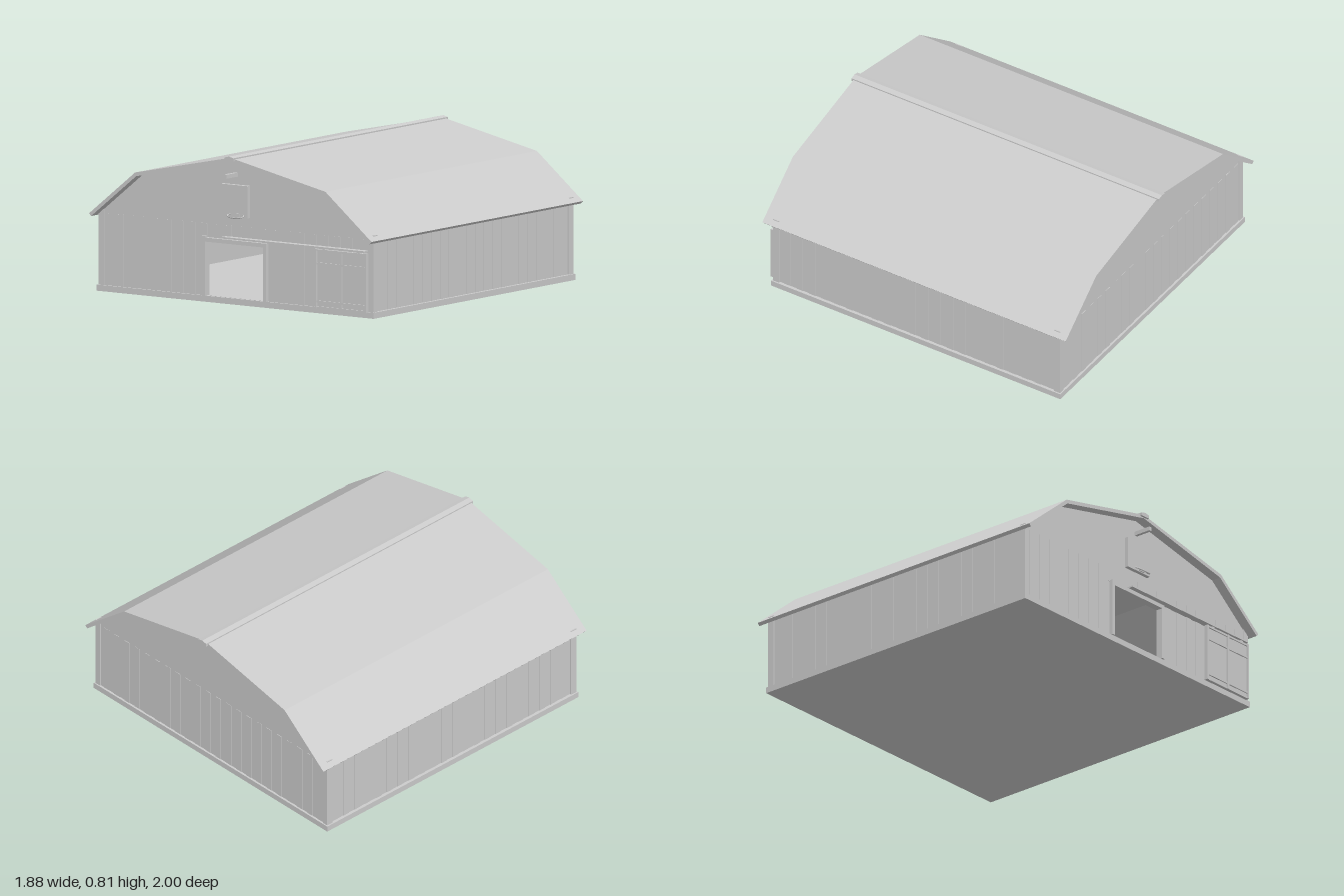
import * as THREE from 'three';

export function createModel() {
  const barn = new THREE.Group();
  barn.name = 'barn';
  const grey = new THREE.MeshStandardMaterial({ color: 0xcccccc });
  grey.name = 'plain grey';

  function add(name, geometry, parent = barn) {
    const mesh = new THREE.Mesh(geometry, grey);
    mesh.name = name;
    parent.add(mesh);
    return mesh;
  }
  // Box given by its limits on each axis
  function box(name, x0, x1, y0, y1, z0, z1, parent) {
    const g = new THREE.BoxGeometry(x1 - x0, y1 - y0, z1 - z0);
    g.translate((x0 + x1) / 2, (y0 + y1) / 2, (z0 + z1) / 2);
    return add(name, g, parent);
  }
  function group(name) {
    const g = new THREE.Group();
    g.name = name;
    barn.add(g);
    return g;
  }
  const outline = (points) => new THREE.Shape(points.map(([x, y]) => new THREE.Vector2(x, y)));
  function extrude(shape, z0, z1) {
    const g = new THREE.ExtrudeGeometry(shape, { depth: z1 - z0, bevelEnabled: false });
    g.translate(0, 0, z0);
    return g;
  }

  // Foundation slab, also the floor
  box('foundation', -0.92, 0.92, 0, 0.033, -0.94, 0.905);

  // Gambrel roof shell and ridge cap
  const outer = [[-0.938, 0.424], [-0.632, 0.671], [0, 0.803], [0.632, 0.671], [0.938, 0.424]];
  const inner = [[0.924, 0.41], [0.625, 0.651], [0, 0.783], [-0.625, 0.651], [-0.924, 0.41]];
  add('roof', extrude(outline([...outer, ...inner].reverse()), -0.985, 0.95));
  add('ridgeCap', extrude(outline([
    [-0.03, 0.787], [0.03, 0.787], [0.03, 0.804], [0, 0.811], [-0.03, 0.804],
  ]), -1, 0.962));

  // Gable walls, the front one with the doorway
  const gable = [[-0.902, 0.033], [0.902, 0.033], [0.902, 0.43], [0.625, 0.653],
    [0, 0.785], [-0.625, 0.653], [-0.902, 0.43]];
  const front = outline(gable);
  front.holes.push(new THREE.Path([[-0.195, 0.034], [-0.195, 0.33], [0.195, 0.33], [0.195, 0.034]]
    .map(([x, y]) => new THREE.Vector2(x, y))));
  add('frontWall', extrude(front, 0.875, 0.893));
  add('backWall', extrude(outline(gable), -0.927, -0.909));

  // Side walls
  for (const s of [-1, 1]) {
    const x = s * 0.893;
    box(s > 0 ? 'leftWall' : 'rightWall', x - 0.009, x + 0.009, 0.033, 0.432, -0.92, 0.885);
  }

  // Uneven boards: every second one stands slightly proud
  const boards = group('wallBoards');
  const step = 0.04;
  for (let i = 0; i < 44; i += 2) {
    const a = -0.87 + i * step;
    const b = a + step;
    const proud = 0.0015 + 0.0015 * ((i * 7) % 3) / 2;
    const overDoor = b > -0.215 && a < 0.215;
    box('frontBoard', a, b, overDoor ? 0.35 : 0.033, 0.425, 0.89, 0.893 + proud, boards);
    box('backBoard', a, b, 0.033, 0.425, -0.927 - proud, -0.924, boards);
    const z = a - 0.016;
    box('leftBoard', 0.899, 0.902 + proud, 0.033, 0.425, z, z + step, boards);
    box('rightBoard', -0.902 - proud, -0.899, 0.033, 0.425, z, z + step, boards);
  }

  // Corner posts, whose tops poke through the roof
  for (const s of [-1, 1]) {
    for (const [z0, z1] of [[0.86, 0.898], [-0.933, -0.895]]) {
      box('cornerPost', Math.min(s * 0.877, s * 0.912), Math.max(s * 0.877, s * 0.912), 0.033, 0.45, z0, z1);
    }
  }

  // Doorway trim
  const trim = group('doorFrame');
  box('rightJamb', -0.214, -0.194, 0.033, 0.358, 0.872, 0.914, trim);
  box('leftJamb', 0.192, 0.212, 0.033, 0.35, 0.872, 0.914, trim);
  box('header', -0.194, 0.212, 0.328, 0.35, 0.872, 0.914, trim);

  // Sliding door pushed to the left side, under its track
  const door = group('slidingDoor');
  box('track', -0.07, 0.876, 0.358, 0.366, 0.89, 0.932, door);
  box('doorPanel', 0.55, 0.883, 0.033, 0.348, 0.91, 0.92, door);
  for (const x of [0.546, 0.713, 0.876]) box('doorStile', x, x + 0.01, 0.03, 0.352, 0.907, 0.93, door);
  for (const y of [0.03, 0.061, 0.268, 0.34]) box('doorRail', 0.546, 0.886, y, y + 0.011, 0.908, 0.927, door);
  for (const x of [0.6, 0.83]) box('hanger', x - 0.008, x + 0.008, 0.34, 0.36, 0.912, 0.926, door);

  // Basketball board with a sagging rim
  const hoop = group('hoop');
  box('backboard', -0.09, 0.09, 0.477, 0.652, 0.893, 0.916, hoop);
  const rimGeometry = new THREE.TorusGeometry(0.053, 0.004, 8, 24);
  rimGeometry.rotateX(Math.PI / 2);
  rimGeometry.scale(1, 1, 0.4);
  rimGeometry.rotateX(0.5);
  const rim = add('rim', rimGeometry, hoop);
  rim.position.set(0.018, 0.486, 0.927);
  box('rimBracket', -0.002, 0.038, 0.482, 0.498, 0.91, 0.922, hoop);

  // Hoist beam below the ridge
  box('hoistBeam', -0.009, 0.009, 0.695, 0.717, 0.88, 0.997);

  return barn;
}
